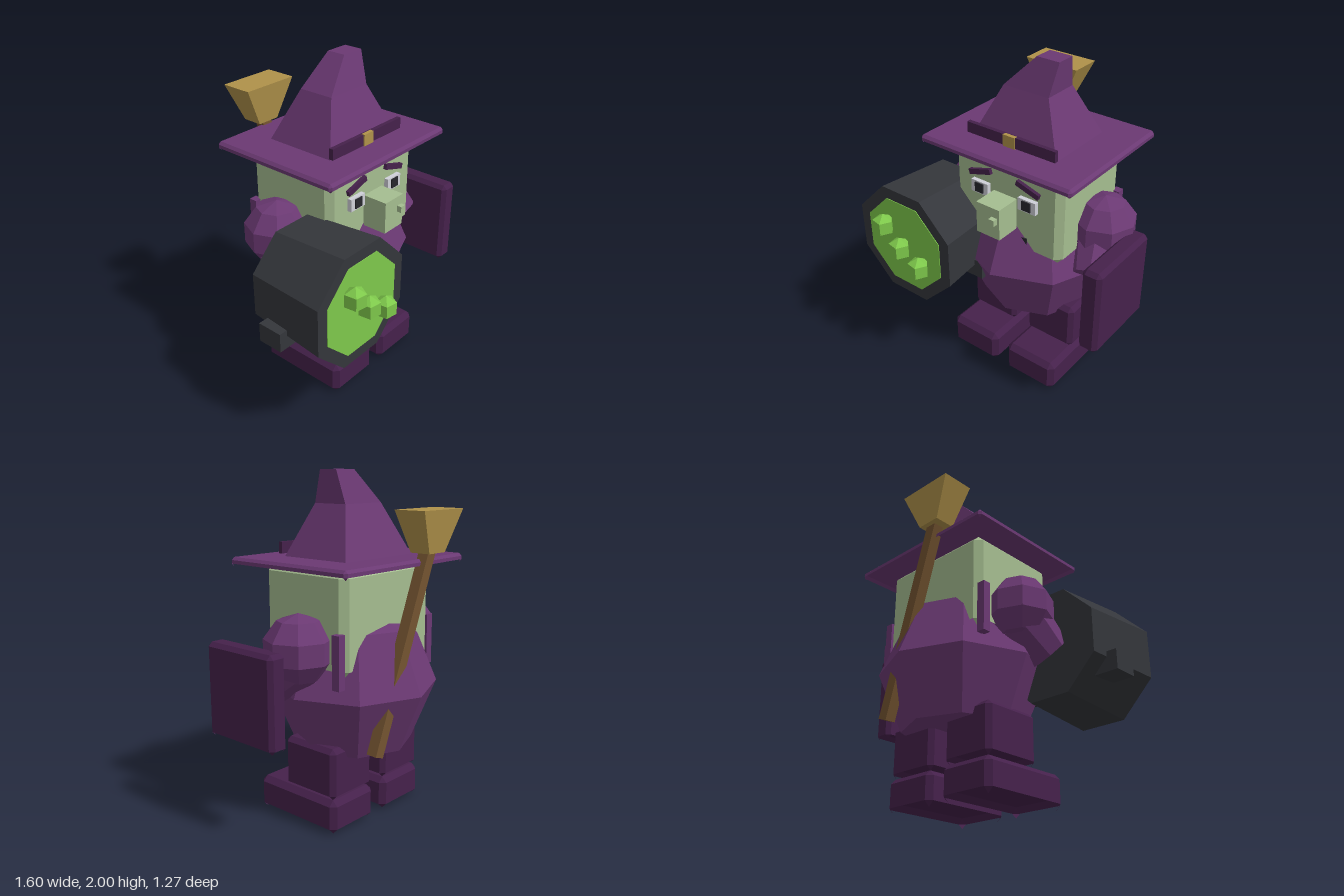
import * as THREE from 'three';

const mat = (name, color) => {
  const m = new THREE.MeshStandardMaterial({ color });
  m.name = name;
  return m;
};

// Rectangle outline with cut corners, counter-clockwise from above
const rectRing = (x0, x1, z0, z1, y, c = 0) => [
  [x1, y, z1 - c], [x1, y, z0 + c], [x1 - c, y, z0], [x0 + c, y, z0],
  [x0, y, z0 + c], [x0, y, z1 - c], [x0 + c, y, z1], [x1 - c, y, z1],
];

// Skin a stack of rings from bottom to top, capping both ends
function loft(rings, extra = []) {
  const p = [...extra];
  const n = rings[0].length;
  for (let r = 0; r + 1 < rings.length; r++) {
    for (let i = 0; i < n; i++) {
      const j = (i + 1) % n;
      const [a, b, c, d] = [rings[r][i], rings[r][j], rings[r + 1][j], rings[r + 1][i]];
      p.push(a, b, c, a, c, d);
    }
  }
  const lo = rings[0], hi = rings[rings.length - 1];
  for (let i = 1; i + 1 < n; i++) p.push(hi[0], hi[i], hi[i + 1], lo[0], lo[i + 1], lo[i]);
  const g = new THREE.BufferGeometry();
  g.setAttribute('position', new THREE.Float32BufferAttribute(p.flat(), 3));
  g.computeVertexNormals();
  return g;
}

// Chamfered block with a recessed underside and pointed lower corners
function block(x0, x1, y0, y1, z0, z1, c) {
  const inset = (y) => rectRing(x0 + c, x1 - c, z0 + c, z1 - c, y);
  const low = rectRing(x0, x1, z0, z1, y0 + c, c);
  const tips = inset(y0);
  const spikes = [];
  for (const i of [1, 3, 5, 7]) {
    const j = (i + 1) % 8;
    spikes.push(tips[i], low[j], low[i], tips[i], low[i], low[j]);
  }
  return loft([inset(y0 + 2 * c), low, rectRing(x0, x1, z0, z1, y1 - c, c), inset(y1)], spikes);
}

function flat(g) {
  const f = g.index ? g.toNonIndexed() : g;
  f.computeVertexNormals();
  return f;
}

const box = (x0, x1, y0, y1, z0, z1) =>
  new THREE.BoxGeometry(x1 - x0, y1 - y0, z1 - z0)
    .translate((x0 + x1) / 2, (y0 + y1) / 2, (z0 + z1) / 2);

// Prism running from point a to point b
function rod(a, b, ra, rb, sides) {
  const A = new THREE.Vector3(...a), B = new THREE.Vector3(...b);
  const d = B.clone().sub(A);
  const g = new THREE.CylinderGeometry(rb, ra, d.length(), sides);
  g.rotateY(Math.PI / sides);
  g.applyQuaternion(new THREE.Quaternion().setFromUnitVectors(new THREE.Vector3(0, 1, 0), d.normalize()));
  return g.translate(...A.add(B).multiplyScalar(0.5).toArray());
}

export function createModel() {
  const purple = mat('purple cloth', 0x6b3973);
  const dark = mat('dark purple cloth', 0x45214b);
  const skin = mat('green skin', 0xa5bd90);
  const iron = mat('dark iron', 0x34363b);
  const brew = mat('bright green', 0x7ec84b);
  const straw = mat('straw gold', 0xb0924a);
  const wood = mat('brown wood', 0x755531);
  const white = mat('eye white', 0xcfd0d8);
  const black = mat('pupil black', 0x27272d);

  const model = new THREE.Group();
  const add = (name, geometry, material) => {
    const m = new THREE.Mesh(flat(geometry), material);
    m.name = name;
    model.add(m);
    return m;
  };
  const CX = 0.085;

  // Round faceted body with a flat base
  add('body', new THREE.SphereGeometry(0.492, 8, 3, 0, Math.PI * 2, 0, Math.PI * 0.75)
    .translate(CX, 0.783, -0.14), purple);
  add('bodyBase', new THREE.CircleGeometry(0.348, 8).rotateX(Math.PI / 2)
    .translate(CX, 0.435, -0.14), purple);

  // Legs, feet, shoulders and back tabs
  for (const s of [-1, 1]) {
    const side = s > 0 ? 'left' : 'right';
    const x = CX + s * 0.218;
    add(side + 'Leg', block(x - 0.168, x + 0.168, 0.2, 0.5, -0.33, 0.05, 0.027), dark);
    add(side + 'Foot', block(x - 0.177, x + 0.177, 0, 0.2, -0.34, 0.26, 0.032), dark);
    const ax = CX + s * 0.45;
    add(side + 'Shoulder', new THREE.SphereGeometry(0.2, 8, 5).translate(ax, 1.055, -0.14), purple);
    add(side + 'Forearm', rod([ax, 1.0, -0.13], [ax + s * 0.06, 0.83, 0.04], 0.16, 0.12, 8), purple);
    const tx = CX + s * 0.39;
    add(side + 'BackTab', box(tx - 0.025, tx + 0.025, 0.86, 1.16, -0.4, -0.35), purple);
  }

  // Book held at the left side
  add('book', block(0.68, 0.8, 0.53, 1.075, -0.2, 0.315, 0.024), dark);

  // Head and face
  add('head', block(CX - 0.378, CX + 0.378, 0.91, 1.49, -0.405, 0.198, 0.04), skin);
  add('nose', box(0.003, 0.165, 1.06, 1.255, 0.15, 0.355), skin);
  add('wart', box(0.112, 0.15, 1.16, 1.198, 0.35, 0.385), skin);
  add('mouth', box(-0.07, 0.24, 0.98, 1.018, 0.19, 0.206), black);
  for (const s of [-1, 1]) {
    const side = s > 0 ? 'left' : 'right';
    const x = CX + s * 0.167;
    add(side + 'Eye', box(x - 0.06, x + 0.06, 1.213, 1.29, 0.19, 0.225), white);
    add(side + 'Pupil', box(x - 0.029, x + 0.029, 1.224, 1.282, 0.22, 0.233), black);
    add(side + 'Brow', new THREE.BoxGeometry(0.158, 0.032, 0.022).rotateZ(-s * 0.29)
      .translate(x, 1.354, 0.213), dark);
  }

  // Wide-brimmed crooked hat
  add('hatBrim', block(-0.43, 0.6, 1.47, 1.522, -0.537, 0.325, 0.016), purple);
  add('hatCrown', loft([
    rectRing(-0.207, 0.375, -0.335, 0.127, 1.51),
    rectRing(-0.068, 0.235, -0.21, 0.015, 1.815),
    rectRing(0.11, 0.257, -0.163, -0.045, 2),
  ]), purple);
  add('hatBand', box(-0.218, 0.385, 1.537, 1.602, 0.13, 0.156), dark);
  add('hatBuckle', box(0.042, 0.122, 1.535, 1.604, 0.14, 0.164), straw);

  // Cauldron facing forward with its carrying bar
  const bx = -0.415, by = 0.88;
  const octagon = Math.PI / 8;
  add('cauldron', new THREE.CylinderGeometry(0.379, 0.34, 0.5, 8).rotateY(octagon)
    .rotateX(Math.PI / 2).translate(bx, by, 0.28), iron);
  add('cauldronBar', box(-0.8, -0.027, 0.66, 0.778, 0.135, 0.29), iron);
  add('brew', new THREE.CylinderGeometry(0.304, 0.304, 0.006, 8).rotateY(octagon)
    .rotateX(Math.PI / 2).translate(bx, by, 0.531), brew);
  for (const [x, y] of [[-0.53, 0.962], [-0.41, 0.843], [-0.265, 0.764]]) {
    add('bubble', new THREE.CylinderGeometry(0.062, 0.062, 0.077, 5).rotateY(0.45)
      .translate(x, y + 0.0385, 0.578), brew);
    add('bubbleTip', new THREE.ConeGeometry(0.062, 0.036, 5).rotateY(0.45)
      .translate(x, y + 0.095, 0.578), brew);
  }

  // Broom slung across the back
  add('broomStick', rod([0.32, 0.475, -0.5], [-0.075, 1.58, -0.54], 0.046, 0.046, 4), wood);
  add('broomBristles', loft([
    rectRing(-0.147, -0.003, -0.6, -0.475, 1.555),
    rectRing(-0.255, 0.105, -0.64, -0.443, 1.79),
  ]), straw);

  return model;
}
